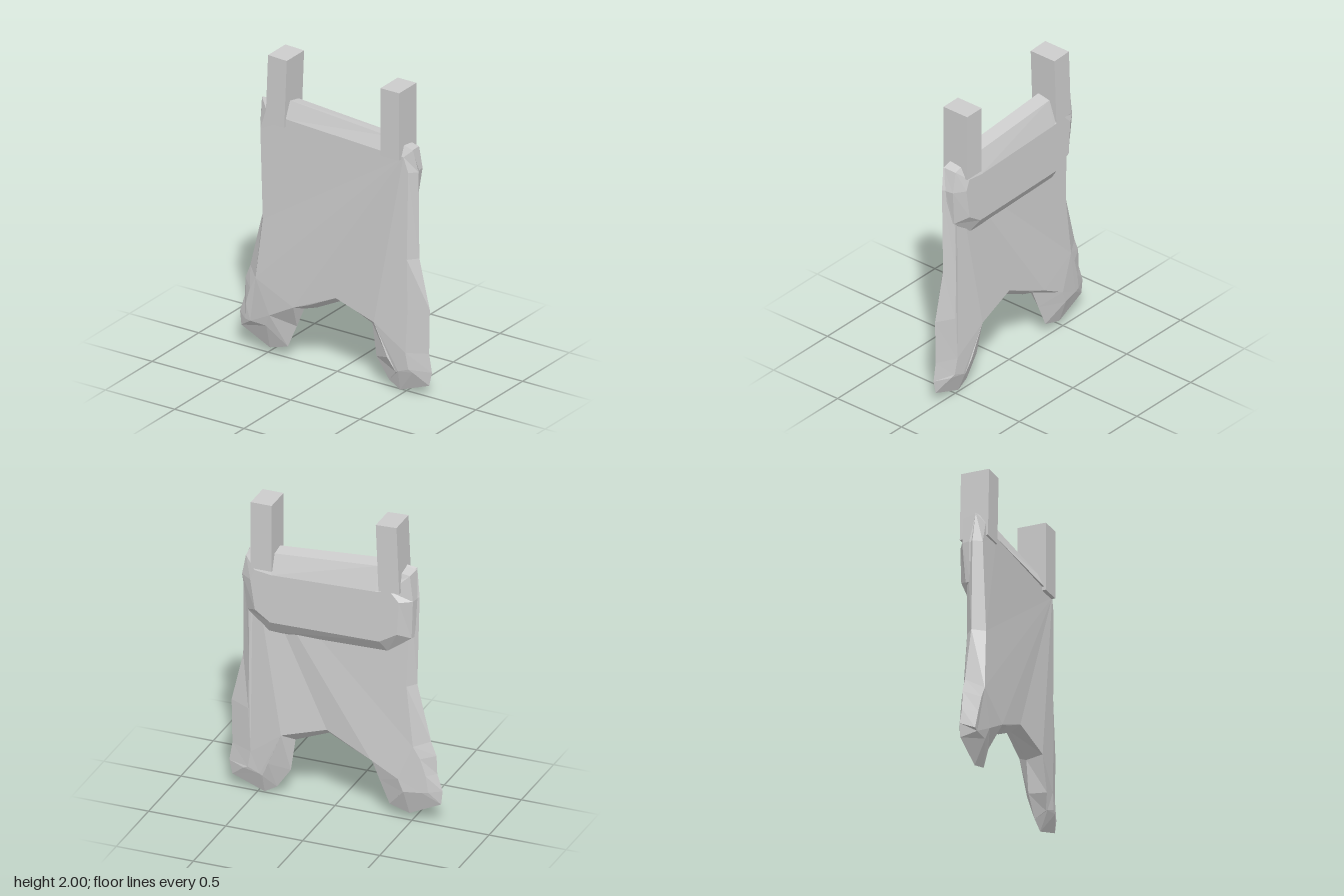
import * as THREE from 'three';

const material = new THREE.MeshStandardMaterial({ color: 0xcccccc, flatShading: true });

// Piecewise-linear lookup in [key, value] stops
function ramp(stops, k) {
  if (k <= stops[0][0]) return stops[0][1];
  for (let i = 1; i < stops.length; i++) {
    const [k0, v0] = stops[i - 1], [k1, v1] = stops[i];
    if (k <= k1) return v0 + (v1 - v0) * (k - k0) / (k1 - k0);
  }
  return stops[stops.length - 1][1];
}

// Ring of points moved inwards from a counterclockwise outline of [x, y, inset]
function ring(outline, amount, depth) {
  const n = outline.length;
  return outline.map(([x, y, inset], i) => {
    const p = outline[(i + n - 1) % n], q = outline[(i + 1) % n];
    const a = new THREE.Vector2(x - p[0], y - p[1]).normalize();
    const b = new THREE.Vector2(q[0] - x, q[1] - y).normalize();
    const t = a.add(b).normalize();
    const px = x - t.y * inset * amount, py = y + t.x * inset * amount;
    return new THREE.Vector3(px, py, depth(py, px));
  });
}

// Closed faceted skin over rings ordered from back to front
function skin(rings) {
  const pos = [];
  const tri = (...pts) => pts.forEach((p) => pos.push(p.x, p.y, p.z));
  const n = rings[0].length;
  for (let r = 0; r + 1 < rings.length; r++) {
    const a = rings[r], b = rings[r + 1];
    for (let i = 0; i < n; i++) {
      const j = (i + 1) % n;
      tri(a[i], a[j], b[j]);
      tri(a[i], b[j], b[i]);
    }
  }
  const cap = (pts, flip) => {
    const flat = pts.map((p) => new THREE.Vector2(p.x, p.y));
    for (const [a, b, c] of THREE.ShapeUtils.triangulateShape(flat, [])) {
      if (flip) tri(pts[a], pts[c], pts[b]);
      else tri(pts[a], pts[b], pts[c]);
    }
  };
  cap(rings[0], true);
  cap(rings[rings.length - 1], false);
  const g = new THREE.BufferGeometry();
  g.setAttribute('position', new THREE.Float32BufferAttribute(pos, 3));
  g.computeVertexNormals();
  return g;
}

function add(group, name, geometry) {
  const mesh = new THREE.Mesh(geometry, material);
  mesh.name = name;
  group.add(mesh);
  return mesh;
}

export function createModel() {
  const group = new THREE.Group();
  group.name = 'hangingHide';

  // Hide panel with two leg flaps
  const hide = [
    [-0.52, 1.69, 0.08], [-0.54, 1.5, 0.035], [-0.53, 0.92, 0.05], [-0.62, 0.55, 0.1],
    [-0.655, 0.46, 0.09], [-0.66, 0.34, 0.06], [-0.695, 0.23, 0.08], [-0.685, 0.14, 0.13],
    [-0.48, 0.042, 0.17], [-0.35, 0.08, 0.17], [-0.285, 0.23, 0.16], [-0.23, 0.36, 0.04],
    [-0.14, 0.39, 0.04], [0.04, 0.48, 0.04], [0.26, 0.39, 0.08], [0.29, 0.18, 0.13],
    [0.38, 0.05, 0.11], [0.46, 0.002, 0.14], [0.67, 0.08, 0.12], [0.69, 0.17, 0.14],
    [0.67, 0.29, 0.14], [0.675, 0.58, 0.13], [0.6, 0.9, 0.06], [0.6, 1.47, 0.05],
    [0.57, 1.61, 0.07], [0.4, 1.66, 0.09], [-0.31, 1.715, 0.11],
  ];
  const frontStops = [[0.03, 0.02], [0.26, 0.086], [0.5, 0.098], [1, 0.083], [1.5, 0.075]];
  const backStops = [[0.02, -0.01], [0.08, -0.03], [0.22, -0.055], [0.45, -0.065], [0.9, -0.04], [1.2, -0.03]];
  const rimStops = [[0, 0.01], [1.4, 0.012], [1.6, 0.035]];
  // Both faces are fullest along the legs and thin to the middle and the outer edge
  const frontZ = (y, x) => Math.min(ramp(frontStops, y), 0.07 + 0.08 * Math.abs(x), 0.092 - 0.14 * (x - 0.3));
  const backZ = (y, x) => Math.max(ramp(backStops, y), -0.03 - 0.12 * Math.abs(x),
    -0.065 + 0.2 * Math.max(0, Math.abs(x) - 0.42));
  add(group, 'hide', skin([
    ring(hide, 1, backZ),
    ring(hide, 0, (y) => ramp(rimStops, y)),
    ring(hide, 1, frontZ),
  ]));

  // Thick fold hanging down behind the top edge
  const fold = [
    [-0.52, 1.68, 0.17], [-0.535, 1.5, 0.08], [-0.52, 1.24, 0.09], [-0.36, 1.12, 0.1],
    [0.42, 1.1, 0.11], [0.56, 1.23, 0.09], [0.59, 1.47, 0.08], [0.565, 1.61, 0.11],
    [0.4, 1.66, 0.14], [-0.31, 1.715, 0.17],
  ];
  add(group, 'backFold', skin([
    ring(fold, 1, () => -0.096),
    ring(fold, 0.1, (y) => (y > 1.4 ? -0.05 : -0.035)),
    ring(fold, 0, (y) => (y > 1.55 ? 0.035 : 0)),
  ]));

  // Hanging straps
  for (const [name, x, y, tilt] of [['rightStrap', -0.382, 1.778, -0.04], ['leftStrap', 0.438, 1.768, 0]]) {
    const strap = add(group, name, new THREE.BoxGeometry(0.135, 0.443, 0.186));
    strap.position.set(x, y, -0.005);
    strap.rotation.z = tilt;
  }
  return group;
}
